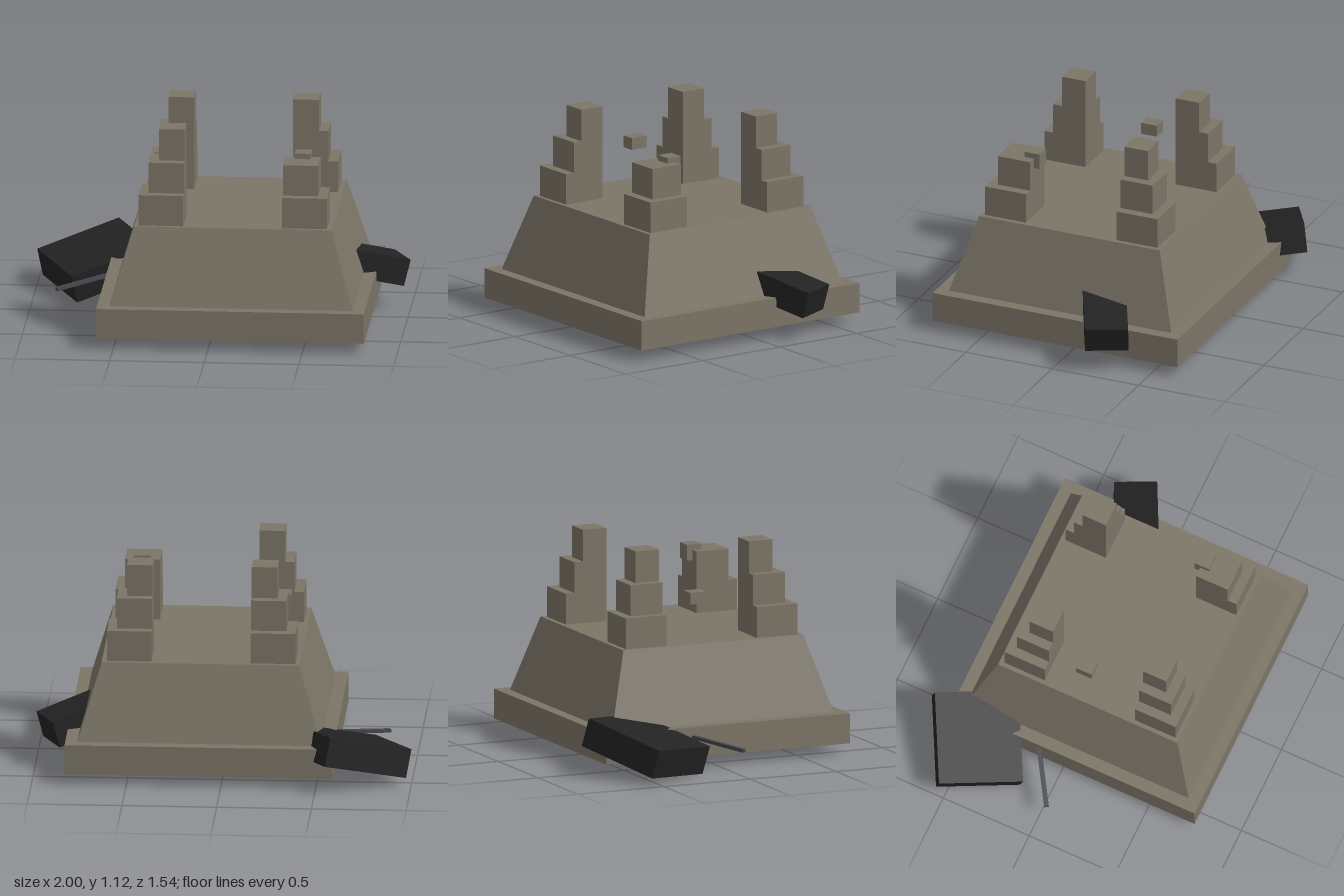
import * as THREE from 'three';

const stone = new THREE.MeshStandardMaterial({ color: 0x7c7567, flatShading: true });
const charred = new THREE.MeshStandardMaterial({ color: 0x222222, flatShading: true });
const iron = new THREE.MeshStandardMaterial({ color: 0x44474d, flatShading: true });

function mesh(name, geometry, material) {
  const m = new THREE.Mesh(geometry, material);
  m.name = name;
  return m;
}

// Axis-aligned block between two corners
function block(name, a, b, material = stone) {
  const g = new THREE.BoxGeometry(...a.map((v, i) => Math.abs(b[i] - v)));
  g.translate(...a.map((v, i) => (v + b[i]) / 2));
  return mesh(name, g, material);
}

// Tilted block from its lowest-left-back corner and three edge vectors
function tiltedBlock(name, corner, u, v, w, material) {
  const basis = new THREE.Matrix4()
    .makeBasis(new THREE.Vector3(...u), new THREE.Vector3(...v), new THREE.Vector3(...w))
    .setPosition(...corner);
  const g = new THREE.BoxGeometry(1, 1, 1).translate(0.5, 0.5, 0.5).applyMatrix4(basis);
  return mesh(name, g, material);
}

// Stepped corner pillar: inner corner stays plumb, outer sides step inwards
function pillar(name, x, z, sx, sz, steps) {
  const group = new THREE.Group();
  group.name = name;
  const heights = [0.63, 0.795, 0.96, 1.13];
  for (let i = 0; i < steps; i++) {
    const s = 0.236 - i * 0.05;
    group.add(block('pillarStep', [x, heights[i], z], [x + sx * s, heights[i + 1], z + sz * s]));
  }
  return group;
}

export function createModel() {
  const model = new THREE.Group();
  model.name = 'ruinedPedestal';

  // Plinth and sloped body
  model.add(block('plinth', [-0.59, 0.065, -0.645], [0.825, 0.225, 0.77]));
  const body = new THREE.CylinderGeometry(0.522 * Math.SQRT2, 0.643 * Math.SQRT2, 0.405, 4);
  body.rotateY(Math.PI / 4).translate(0.118, 0.4275, 0.062);
  model.add(mesh('slopedBody', body, stone));

  // Four corner pillars, the front left one broken off
  model.add(pillar('backRightPillar', -0.145, -0.198, -1, -1, 3));
  model.add(pillar('backLeftPillar', 0.378, -0.198, 1, -1, 3));
  model.add(pillar('frontRightPillar', -0.145, 0.325, -1, 1, 3));
  model.add(pillar('frontLeftPillar', 0.378, 0.325, 1, 1, 2));

  // Loose stone fragments
  model.add(block('pillarFragment', [0.43, 0.905, 0.293], [0.515, 0.99, 0.378]));
  model.add(block('floatingFragment', [-0.335, 0.83, -0.04], [-0.255, 0.893, 0.052]));

  // Dark slabs leaning out of the body
  model.add(tiltedBlock('largeDarkSlab', [-0.973, 0.05, -0.555],
    [0.415, 0.12, -0.218], [-0.027, 0.15, 0.03], [0.212, -0.043, 0.39], charred));
  model.add(tiltedBlock('smallDarkSlab', [0.503, 0.24, -0.199],
    [0.362, -0.11, -0.181], [0.035, 0.14, -0.015], [0.1, 0, 0.205], charred));

  // Thin bar sticking out of the plinth
  model.add(tiltedBlock('ironBar', [-0.86, 0.122, 0.022],
    [0.4, 0.06, -0.25], [-0.003, 0.018, 0], [0.013, 0, 0.021], iron));

  return model;
}
